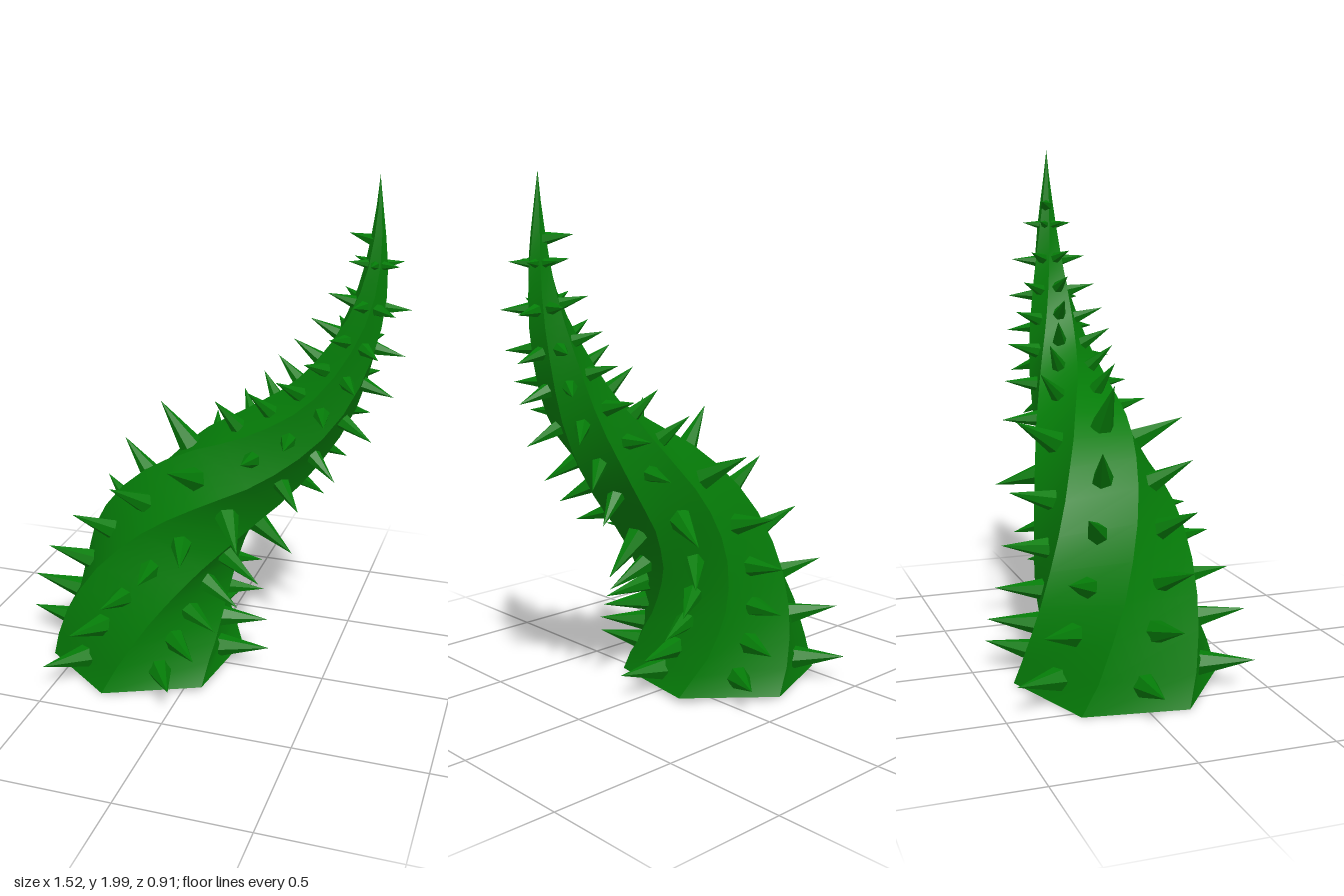
import * as THREE from 'three';

const SIDES = 6, RINGS = 22;
const BASE_RADIUS = 0.39, BASE_ANGLE = 38, TWIST = -182; // degrees

// Centre line of the stem, an S-curve in the x-y plane
const path = new THREE.CatmullRomCurve3([
  [-0.235, 0.016], [-0.237, 0.09], [-0.231, 0.2], [-0.187, 0.41], [-0.088, 0.615], [0.06, 0.785],
  [0.258, 0.95], [0.455, 1.16], [0.576, 1.4], [0.63, 1.6], [0.642, 1.8], [0.638, 2.0],
].map(([x, y]) => new THREE.Vector3(x, y, 0)));
path.arcLengthDivisions = 400;

const radiusAt = u => BASE_RADIUS * Math.pow(Math.max(0, 1 - u), 1.14);

// Outward direction in the cross-section at u, following the twist
function outward(u, degrees) {
  const a = THREE.MathUtils.degToRad(degrees + TWIST * u);
  const t = path.getTangentAt(u);
  return new THREE.Vector3(t.y * Math.cos(a), -t.x * Math.cos(a), Math.sin(a));
}

function surfacePoint(u, degrees, radius) {
  return path.getPointAt(u).addScaledVector(outward(u, degrees), radius);
}

// One twisted face of the stem: smooth along its length, sharp at the ridges
function stemFace(k) {
  const position = [], index = [];
  const a0 = BASE_ANGLE + k * 360 / SIDES, a1 = a0 + 360 / SIDES;
  for (let i = 0; i <= RINGS; i++) {
    const u = i / RINGS, r = radiusAt(u);
    position.push(...surfacePoint(u, a0, r).toArray(), ...surfacePoint(u, a1, r).toArray());
    if (i < RINGS) {
      const p = i * 2;
      index.push(p, p + 2, p + 1);
      if (i < RINGS - 1) index.push(p + 1, p + 2, p + 3);
    }
  }
  const geometry = new THREE.BufferGeometry();
  geometry.setAttribute('position', new THREE.Float32BufferAttribute(position, 3));
  geometry.setIndex(index);
  geometry.computeVertexNormals();
  return geometry;
}

// Thorn rings: [distance along the stem, thorn length]
const THORN_RINGS = [
  [0.08, 0.195], [0.22, 0.185], [0.36, 0.17], [0.51, 0.17], [0.67, 0.175], [0.88, 0.2], [1.11, 0.14],
  [1.26, 0.13], [1.41, 0.13], [1.55, 0.12], [1.68, 0.11], [1.82, 0.1], [1.97, 0.07],
];
const THORN_SINK = 0.25; // share of the length buried in the stem
const THORN_LEAN = 0.12; // lean towards the tip

export function createModel() {
  const model = new THREE.Group();
  model.name = 'thornyTentacle';
  const skin = new THREE.MeshStandardMaterial({ color: 0x057c08, side: THREE.DoubleSide });
  const thornSkin = new THREE.MeshStandardMaterial({ color: 0x057c08, flatShading: true });

  // Stem, open at the bottom
  const stem = new THREE.Group();
  stem.name = 'stem';
  for (let k = 0; k < SIDES; k++) {
    const face = new THREE.Mesh(stemFace(k), skin);
    face.name = 'stemFace';
    stem.add(face);
  }
  model.add(stem);

  // Thorns: a row of six-sided cones down the middle of each face
  const thorns = new THREE.Group();
  thorns.name = 'thorns';
  const cone = new THREE.ConeGeometry(0.225, 1, 6).translate(0, 0.5, 0);
  const up = new THREE.Vector3(0, 1, 0);
  const length = path.getLength();
  const addThorn = (s, size, k) => {
    const u = s / length;
    const angle = BASE_ANGLE + (k + 0.5) * 360 / SIDES;
    const direction = outward(u, angle).addScaledVector(path.getTangentAt(u), THORN_LEAN).normalize();
    const thorn = new THREE.Mesh(cone, thornSkin);
    thorn.name = 'thorn';
    thorn.position.copy(surfacePoint(u, angle, radiusAt(u) * 0.866)).addScaledVector(direction, -size * THORN_SINK);
    thorn.quaternion.setFromUnitVectors(up, direction);
    thorn.scale.setScalar(size * (1 + THORN_SINK));
    thorns.add(thorn);
  };
  for (const [s, size] of THORN_RINGS) {
    for (let k = 0; k < SIDES; k++) addThorn(s, size, k);
  }
  addThorn(2.05, 0.1, 5); // single thorn near the tip
  model.add(thorns);
  return model;
}
